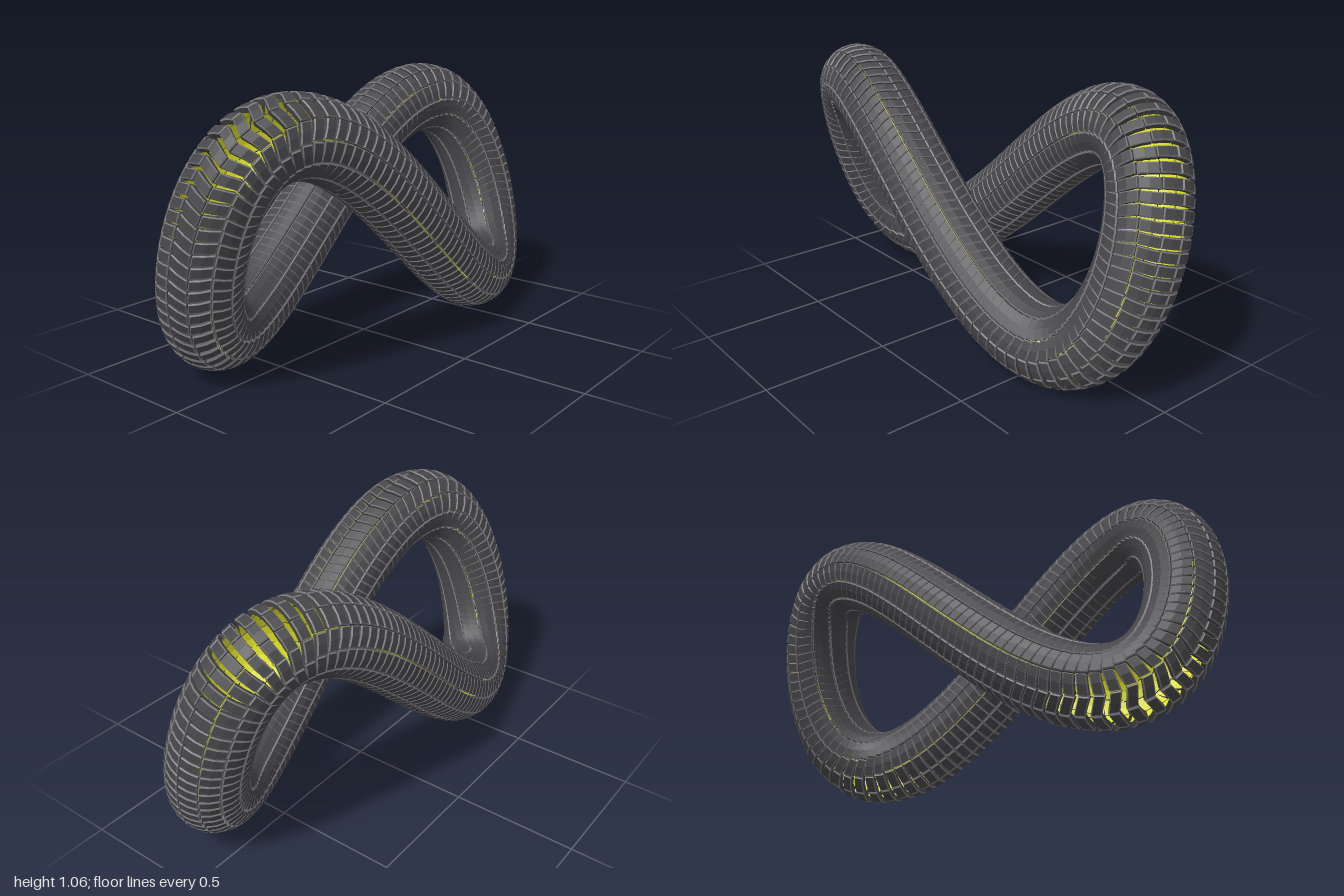
import * as THREE from 'three';
import { mergeGeometries } from 'three/addons/utils/BufferGeometryUtils.js';

const ROWS = 128, COLUMNS = 12;
const OUTER = 0.152, THICK = 0.022, BEVEL = 0.004, SKEW = 0.3;
const TOP = THICK / 2, MID_Y = 0.525;

// Closed figure-eight loop that sweeps forward and back in depth
class FigureEight extends THREE.Curve {
  getPoint(t, target = new THREE.Vector3()) {
    const a = t * Math.PI * 2;
    return target.set(0.848 * Math.cos(a), MID_Y - 0.375 * Math.sin(2 * a), 0.24 * Math.sin(a));
  }
}

// Bend a flat tile (x across, y outward, z along) onto the tube in a given column;
// tiles alternate in slant and draw in at the top to form a bevel
function wrap(geometry, column) {
  const p = geometry.attributes.position;
  const middle = ((column + 0.5) / COLUMNS) * Math.PI * 2;
  const skew = (column % 2 ? SKEW : -SKEW) * (1 - Math.cos(middle)) / 2;
  for (let i = 0; i < p.count; i++) {
    const y = p.getY(i);
    const inset = y > TOP - BEVEL / 2 ? BEVEL : 0;
    const x = p.getX(i) - Math.sign(p.getX(i)) * inset;
    const z = p.getZ(i) - Math.sign(p.getZ(i)) * inset;
    const angle = middle - x / OUTER;
    const radius = OUTER - TOP + y;
    p.setXYZ(i, Math.cos(angle) * radius, Math.sin(angle) * radius, z + skew * x);
  }
  const flat = geometry.toNonIndexed();
  flat.computeVertexNormals();
  return flat;
}

// One ring of tiles around the tube
function makeRing(makeTile) {
  return mergeGeometries(Array.from({ length: COLUMNS }, (_, c) => wrap(makeTile(), c)));
}

// Repeat a rigid ring at equal steps along the curve
function repeatAlong(curve, ring) {
  const copies = [];
  for (let i = 0; i < ROWS; i++) {
    const u = i / ROWS;
    const along = curve.getTangentAt(u);
    const side = new THREE.Vector3(0, 0, 1).addScaledVector(along, -along.z).normalize();
    const up = new THREE.Vector3().crossVectors(side, along);
    const m = new THREE.Matrix4().makeBasis(up, side, along).setPosition(curve.getPointAt(u));
    copies.push(ring.clone().applyMatrix4(m));
  }
  return mergeGeometries(copies);
}

function material(name, color) {
  const m = new THREE.MeshStandardMaterial({ color });
  m.name = name;
  return m;
}

export function createModel() {
  const rubber = material('darkRubber', 0x47474a);
  const edge = material('greyEdge', 0x77777a);
  const yellow = material('yellowLining', 0xdde022);

  const curve = new FigureEight();
  curve.arcLengthDivisions = 1000;
  const length = curve.getLength() / ROWS;
  const width = (Math.PI * 2 * OUTER) / COLUMNS - 0.004;

  const group = new THREE.Group();
  group.name = 'figureEightTyre';
  const addTiles = (name, mat, makeTile) => {
    const mesh = new THREE.Mesh(repeatAlong(curve, makeRing(makeTile)), mat);
    mesh.name = name;
    group.add(mesh);
  };

  // Tread blocks in a herringbone pattern, with lighter bevelled rims
  addTiles('treadBlocks', rubber, () =>
    new THREE.BoxGeometry(width, THICK - BEVEL, length, 2, 1, 1).translate(0, -BEVEL / 2, 0));
  addTiles('bevelRims', edge, () =>
    new THREE.BoxGeometry(width, BEVEL, length, 2, 1, 1).translate(0, TOP - BEVEL / 2, 0));
  addTiles('treadTops', rubber, () =>
    new THREE.PlaneGeometry(width, length, 2, 1).rotateX(-Math.PI / 2).translate(0, TOP + 0.0005, 0));

  // Bright inner faces, seen through the open grooves
  addTiles('innerLining', yellow, () =>
    new THREE.PlaneGeometry(width, length, 2, 1).rotateX(Math.PI / 2).translate(0, -TOP - 0.001, 0));
  return group;
}
